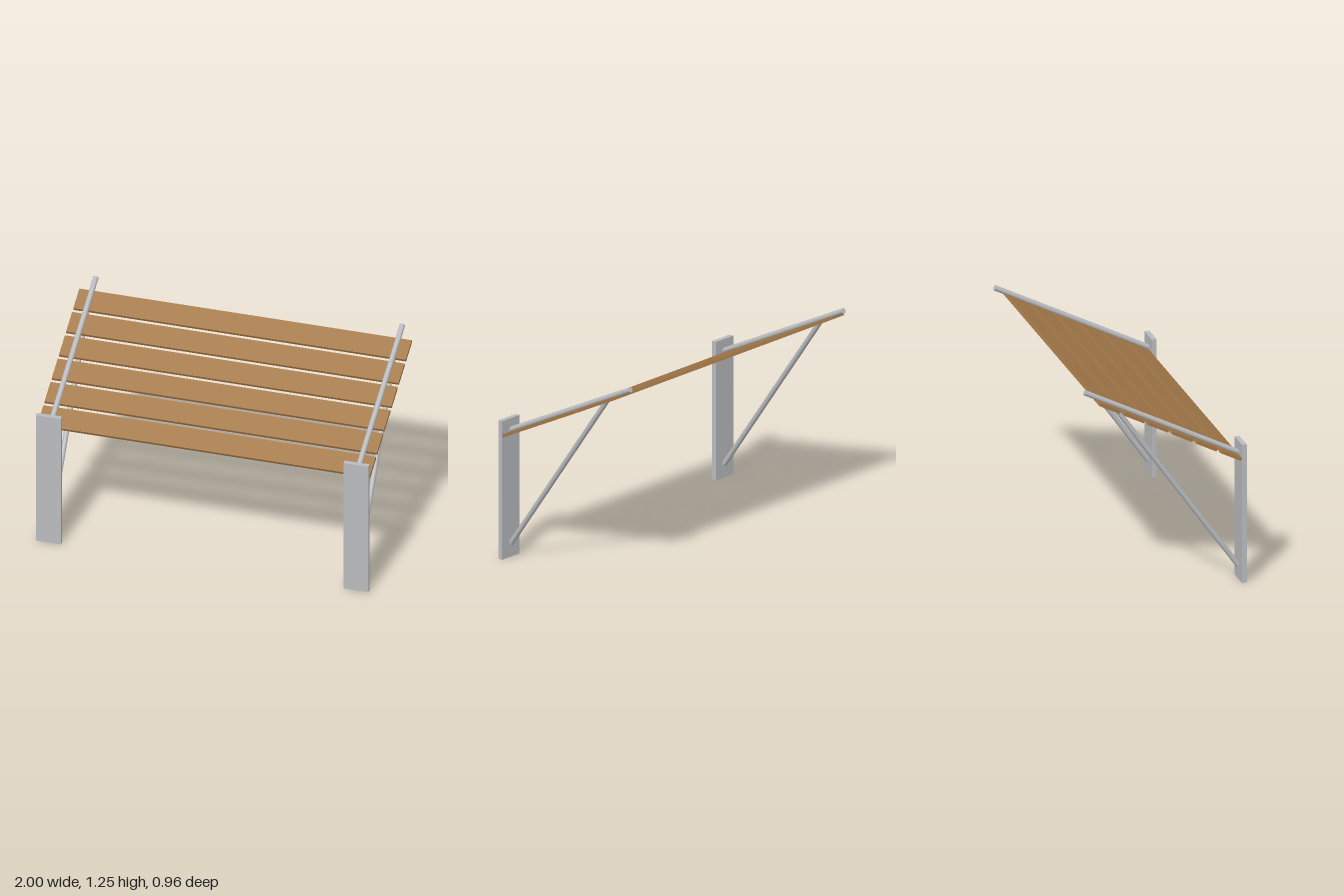
import * as THREE from 'three';

const steel = new THREE.MeshStandardMaterial({ color: 0xb9bbbe });
steel.name = 'galvanised steel';
const wood = new THREE.MeshStandardMaterial({ color: 0xa47848 });
wood.name = 'wood';

const TILT = THREE.MathUtils.degToRad(26.5);

function box(name, material, w, h, d, x, y, z) {
  const mesh = new THREE.Mesh(new THREE.BoxGeometry(w, h, d), material);
  mesh.name = name;
  mesh.position.set(x, y, z);
  return mesh;
}

// Round bar running between two points
function bar(name, a, b, radius) {
  const dir = b.clone().sub(a);
  const mesh = new THREE.Mesh(new THREE.CylinderGeometry(radius, radius, dir.length(), 20), steel);
  mesh.name = name;
  mesh.position.copy(a).add(b).multiplyScalar(0.5);
  mesh.quaternion.setFromUnitVectors(new THREE.Vector3(0, 1, 0), dir.normalize());
  return mesh;
}

export function createModel() {
  const group = new THREE.Group();
  group.name = 'slattedCanopy';

  // Side frames: flat post, sloping rail and diagonal brace
  for (const side of [1, -1]) {
    const frame = new THREE.Group();
    frame.name = side > 0 ? 'leftFrame' : 'rightFrame';
    const x = side * 0.922;
    frame.add(
      box('post', steel, 0.15, 0.847, 0.029, side * 0.925, 0.4235, 0.4655),
      bar('rail', new THREE.Vector3(x, 0.777, 0.452), new THREE.Vector3(x, 1.235, -0.472), 0.016),
      bar('brace', new THREE.Vector3(x, 0.081, 0.453), new THREE.Vector3(x, 1.135, -0.297), 0.0155)
    );
    group.add(frame);
  }

  // Six boards fixed under the rails
  const slats = new THREE.Group();
  slats.name = 'slats';
  slats.position.set(0, 0.969, 0.0225);
  slats.rotation.x = TILT;
  const pitch = 0.1625;
  for (let i = 0; i < 6; i++) {
    slats.add(box('slat', wood, 2, 0.018, 0.137, 0, 0, (2.5 - i) * pitch));
  }
  group.add(slats);

  return group;
}
